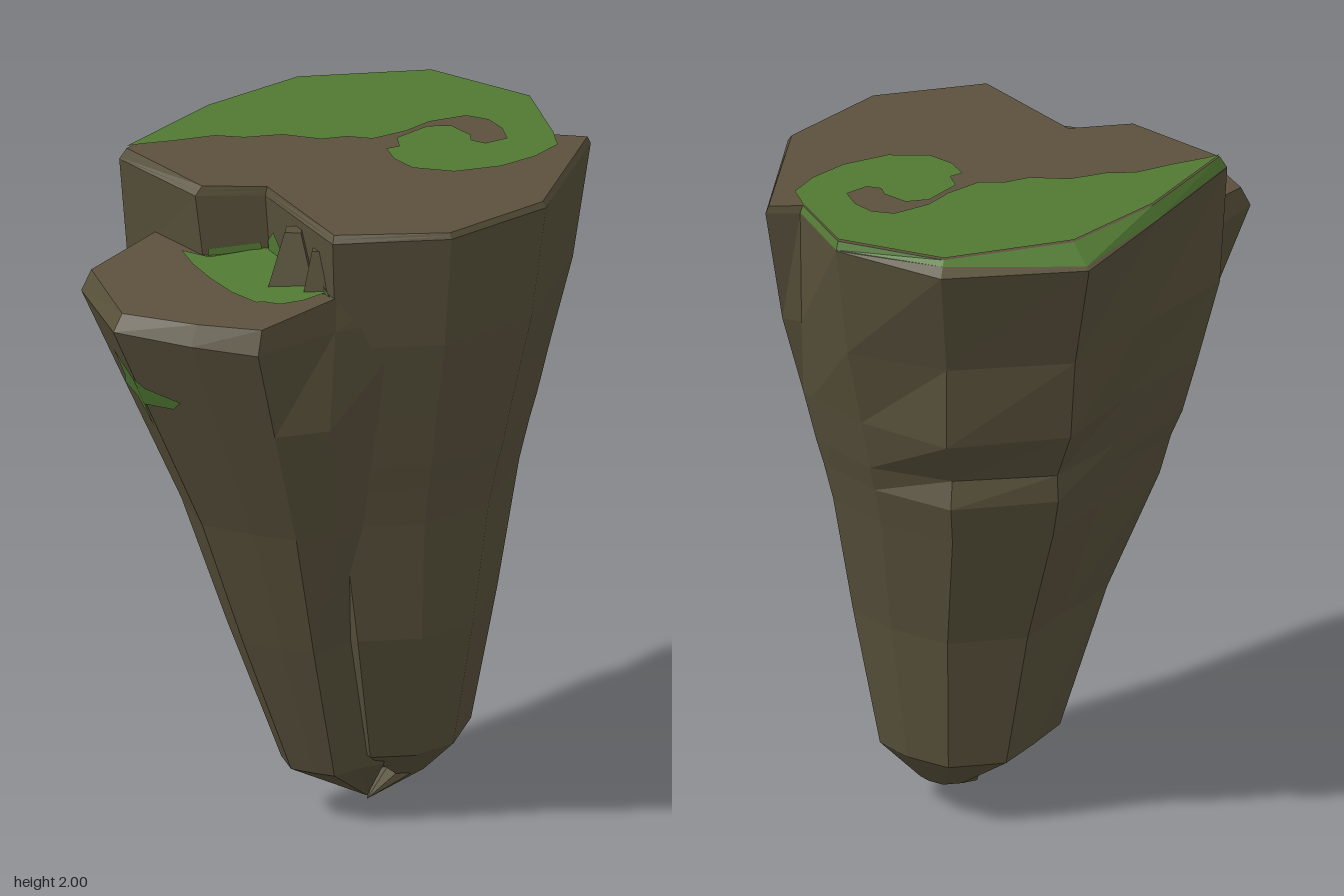
import * as THREE from 'three';

function flat(name, color) {
  const m = new THREE.MeshStandardMaterial({ color, flatShading: true });
  m.name = name;
  return m;
}
const topStone = flat('brown top stone', 0x5c503d);
const sideStone = flat('olive side stone', 0x57503a);
const moss = flat('green moss', 0x517933);

// Faceted rock: rings run from top to bottom, closed by a fan at each end.
function loft(name, rings, top, bottom, isMoss = () => false) {
  const faces = [[], [], []]; // cap, sides, moss
  const n = rings[0].length;
  for (let i = 0; i < n; i++) {
    const j = (i + 1) % n;
    faces[0].push(...top, ...rings[0][j], ...rings[0][i]);
    for (let r = 0; r < rings.length - 1; r++) {
      const a = rings[r], b = rings[r + 1];
      faces[isMoss(r, i) ? 2 : 1].push(...a[i], ...a[j], ...b[j], ...a[i], ...b[j], ...b[i]);
    }
    const last = rings[rings.length - 1];
    faces[1].push(...last[i], ...last[j], ...bottom);
  }
  const g = new THREE.BufferGeometry();
  g.setAttribute('position', new THREE.Float32BufferAttribute(faces.flat(), 3));
  let start = 0;
  faces.forEach((f, k) => {
    g.addGroup(start, f.length / 3, k);
    start += f.length / 3;
  });
  g.computeVertexNormals();
  const mesh = new THREE.Mesh(g, [topStone, sideStone, moss]);
  mesh.name = name;
  return mesh;
}

// Flat moss patch from x,z points, laid on the height rule y = height(x, z).
function mossPatch(name, points, height) {
  const shape = new THREE.Shape(points.map(([x, z]) => new THREE.Vector2(x, -z)));
  const g = new THREE.ShapeGeometry(shape).rotateX(-Math.PI / 2);
  const p = g.attributes.position;
  for (let i = 0; i < p.count; i++) p.setY(i, height(p.getX(i), p.getZ(i)) + 0.007);
  g.computeVertexNormals();
  const mesh = new THREE.Mesh(g, moss);
  mesh.name = name;
  return mesh;
}

// Moss patch from x,y points, pressed from the front onto a rock face.
function wallMoss(name, points, rock) {
  const g = new THREE.ShapeGeometry(new THREE.Shape(points.map(([x, y]) => new THREE.Vector2(x, y))));
  const p = g.attributes.position;
  const inward = new THREE.Vector3(0, 0, -1);
  for (let i = 0; i < p.count; i++) {
    const ray = new THREE.Raycaster(new THREE.Vector3(p.getX(i), p.getY(i), 2), inward);
    p.setZ(i, ray.intersectObject(rock)[0].point.z + 0.007);
  }
  g.computeVertexNormals();
  const mesh = new THREE.Mesh(g, moss);
  mesh.name = name;
  return mesh;
}

export function createModel() {
  const model = new THREE.Group();
  model.name = 'floatingRock';

  // Main rock: plan outline as x, z, bevel inset, undercut strength, moss reach over the bevel
  const plan = [
    [-0.44, 0.39, 0.03, 0, 0.9], [-0.53, 0.02, 0.04, 0, 0.95], [-0.60, -0.34, 0.14, 0.75, 0.85],
    [-0.35, -0.69, 0.08, 1.2, 0.35], [-0.01, -0.77, 0.015, 0, 0.9], [0.23, -0.67, 0.015, 0, 0.9],
    [0.30, -0.74, 0.015, 0, 0.5], [0.58, -0.36, 0.02, 0, 0.5], [0.59, -0.01, 0.02, 0, 0.5],
    [0.41, 0.28, 0.04, 0, 0.5], [0.02, 0.22, 0.02, 0, 0.5], [-0.10, 0.38, 0.04, 0, 0.5],
  ];
  // Levels: height, scale, undercut offset, x shift, z shift, push of the front left shoulder
  const levels = [
    [1.61, 0.92, -0.06, 0, 0, 0.05], [1.36, 0.82, 0.02, 0, 0, 0.06], [1.2, 0.76, -0.06, 0, 0, 0.06],
    [1.12, 0.725, 0, 0, 0, 0.05], [1.0, 0.68, 0, 0, 0, 0.05], [0.62, 0.54, 0, 0.03, -0.01, 0.02],
    [0.2, 0.39, 0, 0, -0.06, 0], [0.075, 0.13, 0, 0, -0.12, 0],
  ];
  const cx = 0.07, cz = -0.11;
  const scaled = (x, z, k, y, sx = 0, sz = 0) => [cx + (x - cx) * k + sx, y, cz + (z - cz) * k + sz];
  const capY = (x) => 1.984 - 0.018 * x;
  const capRing = plan.map(([x, z, inset]) => {
    const p = scaled(x, z, 1 - inset, 0);
    p[1] = capY(p[0]);
    return p;
  });
  const rimRing = plan.map(([x, z, inset]) => [x, inset > 0.1 ? 1.945 : 1.957, z]);
  const mossRing = plan.map(([, , , , reach], i) =>
    capRing[i].map((v, a) => THREE.MathUtils.lerp(v, rimRing[i][a], reach)));
  const lowerRings = levels.map(([y, k, cut, sx, sz, push]) => plan.map(([x, z, , strength], i) => {
    // the rear cleft closes soon below the rim
    const fill = i === 5 ? 1 + 0.14 * Math.min(1, (1 - k) * 7) : 1;
    return scaled(x, z, (k + cut * strength) * fill, y, i === 0 ? sx - push : sx, sz);
  }));
  const mainRock = loft('mainRock', [capRing, mossRing, rimRing, ...lowerRings],
    [0, capY(0), -0.1], [0.07, 0, -0.11], (row, col) => row === 0 && col < 5);
  mainRock.updateMatrixWorld();
  model.add(mainRock);

  // Front buttress with a sloping ledge on top and a bulge at its right-hand end
  const ledgePlan = [
    [0.41, 0.27], [0.41, 0.55], [0.24, 0.66], [0.02, 0.77],
    [-0.27, 0.66], [-0.33, 0.33], [-0.25, 0], [0.47, 0],
  ];
  const ledgeY = (x, z) => 1.73 + (0.75 - z) * 0.1;
  const ledgeTop = ledgePlan.map(([x, z]) => {
    const p = scaled(x, z, 0.965, 0);
    p[1] = ledgeY(p[0], p[2]);
    return p;
  });
  const buttressRings = [[1.68, 1, 0], [1.38, 0.846, 0.06], [1.0, 0.65, 0.04], [0.6, 0.49, 0], [0.16, 0.3, 0]]
    .map(([y, k, bulge]) => ledgePlan.map(([x, z], i) =>
      (i === 0 ? scaled(x, z, k, y, bulge, bulge * 1.4) : scaled(x, z, k, y))));
  const buttress = loft('frontButtress', [ledgeTop, ...buttressRings],
    [0.07, ledgeY(0.07, 0.3), 0.3], [0.07, 0.01, -0.11]);
  buttress.updateMatrixWorld();
  model.add(buttress);

  // Small broken spurs between the ledge and the rim: x, z, radius, height
  for (const [x, z, r, h] of [[0.21, 0.265, 0.095, 0.16], [0.31, 0.26, 0.05, 0.13]]) {
    const spur = new THREE.Mesh(new THREE.CylinderGeometry(r * 0.35, r, h, 4), sideStone);
    spur.position.set(x, 1.77 + h / 2, z);
    spur.name = 'spur';
    model.add(spur);
  }

  // Moss over the top: follows the left and rear edge, then curls into a hook
  const edge = capRing.slice(0, 6).map(([x, , z]) => [x, z]);
  const curl = [
    [0.30, -0.62], [0.325, -0.52], [0.32, -0.40], [0.27, -0.27], [0.18, -0.19], [0.10, -0.185],
    [0.03, -0.21], [0.04, -0.25], [-0.01, -0.28], [-0.02, -0.40], [0.02, -0.455], [0.10, -0.46],
    [0.13, -0.44], [0.17, -0.46], [0.18, -0.53], [0.12, -0.56], [0.05, -0.565], [-0.01, -0.53],
    [-0.04, -0.42], [-0.03, -0.33], [-0.045, -0.22], [-0.10, -0.17], [-0.13, -0.10],
    [-0.22, -0.03], [-0.27, 0.07], [-0.33, 0.13], [-0.37, 0.24], [-0.41, 0.33],
  ];
  model.add(mossPatch('topMoss', [...edge, ...curl], capY));

  // Moss on the ledge, creeping up the wall behind it
  model.add(mossPatch('ledgeMoss', [
    [-0.15, 0.39], [-0.06, 0.36], [0.02, 0.2], [0.36, 0.25], [0.35, 0.34], [0.32, 0.40],
    [0.28, 0.42], [0.26, 0.44], [0.16, 0.45], [0.05, 0.44], [-0.06, 0.42],
  ], ledgeY));
  model.add(wallMoss('wallMoss', [[-0.08, 1.75], [0.012, 1.75], [0.012, 1.81], [-0.08, 1.79]], mainRock));
  model.add(wallMoss('wallMoss', [
    [0.03, 1.75], [0.38, 1.75], [0.38, 1.78], [0.32, 1.82], [0.285, 1.87], [0.26, 1.8],
    [0.1, 1.82], [0.065, 1.86], [0.03, 1.82],
  ], mainRock));

  // Star-like moss on the buttress face, one half on each side of the ridge
  model.add(wallMoss('frontMoss', [
    [0.026, 1.52], [-0.03, 1.54], [-0.09, 1.57], [-0.10, 1.47], [-0.165, 1.41], [-0.03, 1.43], [0.026, 1.35],
  ], buttress));
  model.add(wallMoss('frontMoss', [
    [0.026, 1.35], [0.03, 1.43], [0.11, 1.43], [0.14, 1.46], [0.05, 1.49], [0.026, 1.52],
  ], buttress));
  return model;
}
